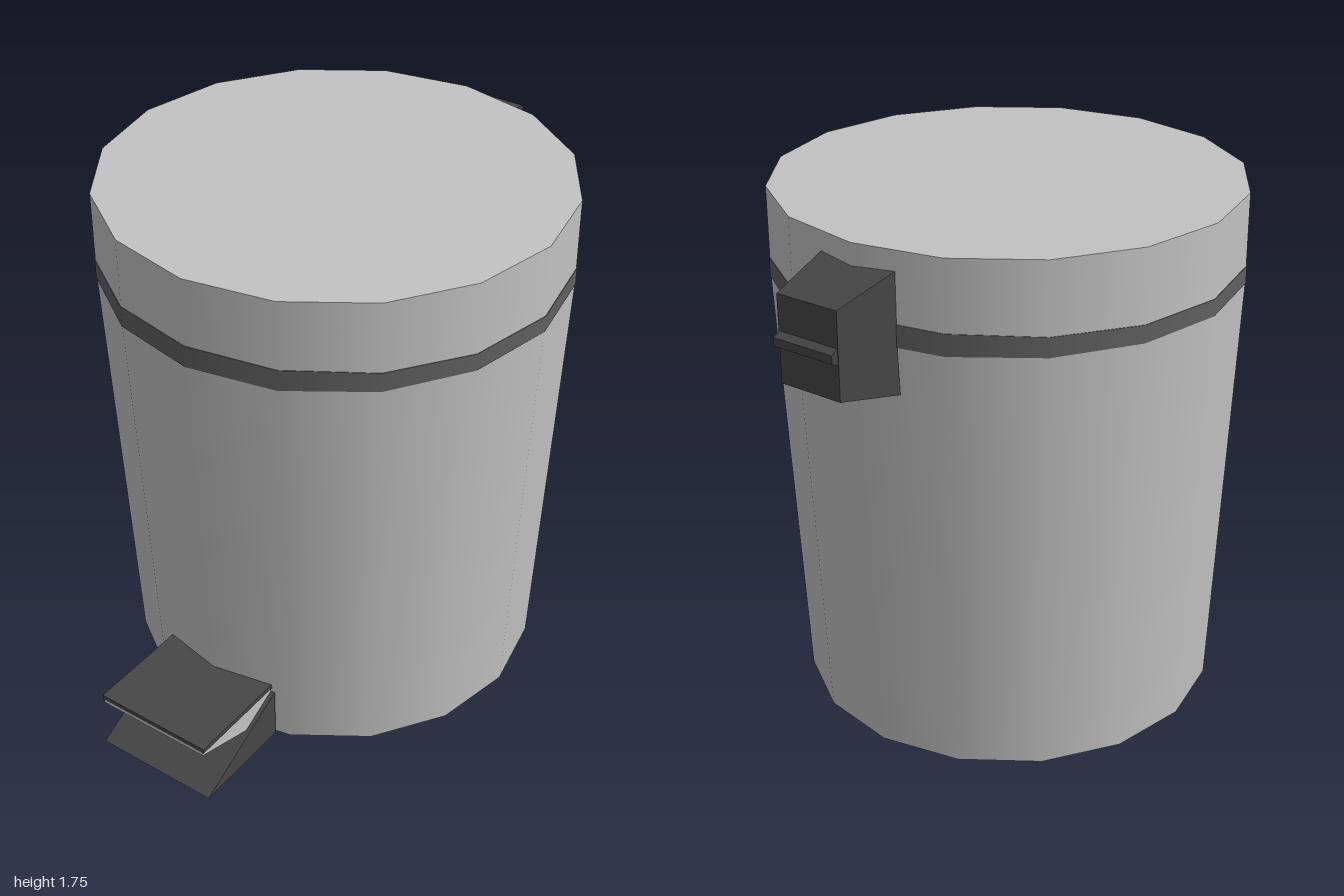
import * as THREE from 'three';

const mat = (name, color) => {
  const m = new THREE.MeshStandardMaterial({ color });
  m.name = name;
  return m;
};

export function createModel() {
  const group = new THREE.Group();
  group.name = 'pedalBin';
  const steel = mat('lightSteel', 0xc2c2c2);
  const rubber = mat('darkPlastic', 0x464646);
  const seal = mat('greySeal', 0x606060);

  const add = (name, geometry, material, x = 0, y = 0, z = 0) => {
    const mesh = new THREE.Mesh(geometry, material);
    mesh.name = name;
    mesh.position.set(x, y, z);
    group.add(mesh);
    return mesh;
  };

  // Sixteen-sided drum parts, set between two heights
  const drum = (name, rTop, rBottom, y0, y1, material) =>
    add(name, new THREE.CylinderGeometry(rTop, rBottom, y1 - y0, 16), material, 0, (y0 + y1) / 2, -0.02);

  drum('body', 0.76, 0.695, 0, 1.455, steel);
  drum('lid', 0.76, 0.76, 1.5, 1.75, steel);

  // Seal band, slightly taller at the front and back than at the sides
  const band = drum('sealBand', 0.762, 0.762, 1.455, 1.51, seal);
  const bp = band.geometry.attributes.position;
  for (let i = 0; i < bp.count; i++) {
    const rise = (bp.getZ(i) / 0.762) ** 2;
    bp.setY(i, bp.getY(i) + (bp.getY(i) > 0 ? 0.013 : -0.005) * rise);
  }

  // Side profile given as [z, y], extruded across x
  const profile = (name, points, width, material) => {
    const shape = new THREE.Shape(points.map(([z, y]) => new THREE.Vector2(-z, y)));
    const geo = new THREE.ExtrudeGeometry(shape, { depth: width, bevelEnabled: false });
    geo.translate(0, 0, -width / 2);
    geo.rotateY(Math.PI / 2);
    return add(name, geo, material);
  };

  // Foot pedal: floor wedge, steel lever and tread plate
  profile('pedalBase', [[1, 0], [0.64, 0], [0.64, 0.185]], 0.44, rubber);
  profile('pedalLever', [[1, 0.2], [1, 0.187], [0.78, 0.115], [0.64, 0.16], [0.64, 0.2]], 0.41, steel);
  profile('pedalTread', [[1, 0.2], [0.64, 0.2], [0.64, 0.216], [1, 0.216]], 0.42, rubber);

  // Hinge housing, tapering away from the drum
  const hinge = new THREE.BoxGeometry(2, 2, 0.23);
  const hp = hinge.attributes.position;
  for (let i = 0; i < hp.count; i++) {
    const outer = hp.getZ(i) < 0;
    hp.setX(i, hp.getX(i) * (outer ? 0.112 : 0.14));
    hp.setY(i, hp.getY(i) * (outer ? 0.14 : 0.195));
  }
  hinge.computeVertexNormals();
  add('hingeHousing', hinge, rubber, 0, 1.492, -0.86);

  // Hinge pin rib
  profile('hingeRib', [[-0.97, 1.465], [-1, 1.478], [-1, 1.505], [-0.97, 1.52]], 0.22, rubber);

  return group;
}
